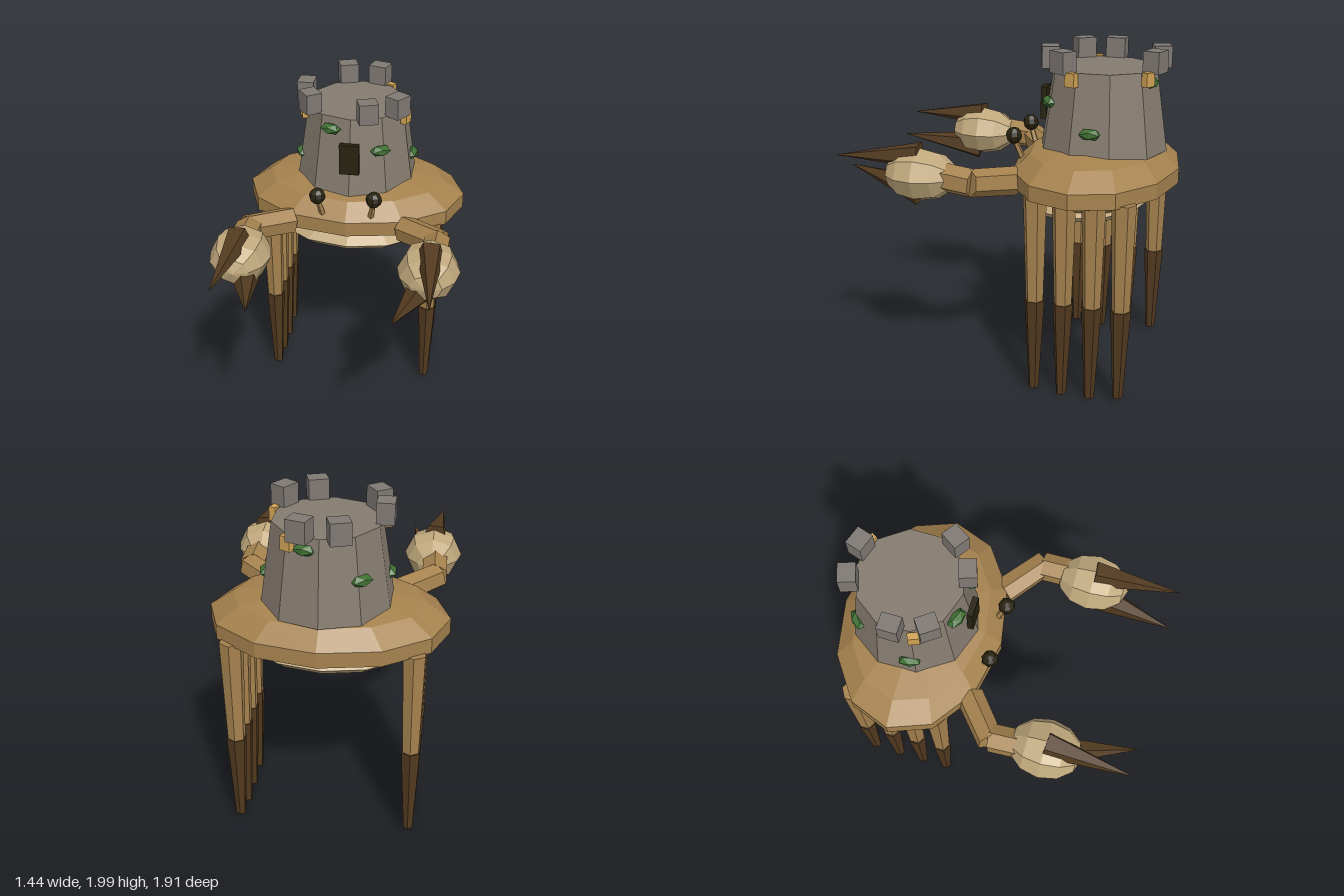
import * as THREE from 'three';

const mat = (name, color) => {
  const m = new THREE.MeshStandardMaterial({ color, flatShading: true });
  m.name = name;
  return m;
};

export function createModel() {
  const shell = mat('shell tan', 0xa5824e);
  const pale = mat('pale tan', 0xc0a87c);
  const dark = mat('dark brown', 0x523a1f);
  const stone = mat('stone grey', 0x857b6f);
  const merlonStone = mat('merlon grey', 0x7f7974);
  const green = mat('moss green', 0x3f7033);
  const amber = mat('lamp amber', 0xd0a255);
  const black = mat('near black', 0x27220f);

  const model = new THREE.Group();
  const add = (name, geometry, material, x = 0, y = 0, z = 0) => {
    const mesh = new THREE.Mesh(geometry, material);
    mesh.name = name;
    mesh.position.set(x, y, z);
    model.add(mesh);
    return mesh;
  };

  // Tapered prism between two points
  const UP = new THREE.Vector3(0, 1, 0);
  const rod = (name, a, b, ra, rb, sides, material) => {
    const p = new THREE.Vector3(...a), q = new THREE.Vector3(...b);
    const d = q.clone().sub(p);
    const mesh = add(name, new THREE.CylinderGeometry(rb, ra, d.length(), sides), material);
    mesh.position.copy(p).add(q).multiplyScalar(0.5);
    mesh.quaternion.setFromUnitVectors(UP, d.normalize());
    return mesh;
  };

  // Body: oval turned shell with twelve sides
  const profile = [[0, 1.018], [0.42, 1.045], [0.8, 1.165], [1, 1.21],
    [1, 1.3], [0.8, 1.395], [0.45, 1.44], [0, 1.45]];
  const body = add('body', new THREE.LatheGeometry(
    profile.map(([r, y]) => new THREE.Vector2(r, y)), 12), shell, 0, 0, -0.468);
  body.scale.set(0.685, 1, 0.487);

  // Belly plate
  const belly = add('belly', new THREE.SphereGeometry(1, 12, 6), pale, 0, 1.1, -0.42);
  belly.scale.set(0.5, 0.09, 0.38);

  // Tower
  const CZ = -0.5;
  add('tower', new THREE.CylinderGeometry(0.305, 0.378, 0.48, 10), stone, 0, 1.64, CZ);

  // Parts on the tower are turned to face outward
  const onTower = (name, geometry, material, x, y, z) => {
    const mesh = add(name, geometry, material, x, y, z);
    mesh.rotation.y = Math.atan2(x, z - CZ);
    return mesh;
  };
  const merlonBox = new THREE.BoxGeometry(0.115, 0.125, 0.1);
  for (const [x, z] of [[-0.105, -0.81], [0.1, -0.81], [-0.315, -0.5],
    [-0.26, -0.31], [0.1, -0.2], [0.265, -0.32]]) {
    onTower('merlon', merlonBox, merlonStone, x, 1.935, z);
  }
  const lampBox = new THREE.BoxGeometry(0.065, 0.08, 0.04);
  for (const [x, z] of [[-0.31, -0.38], [0.31, -0.38], [0.17, -0.785]]) {
    onTower('lamp', lampBox, amber, x, 1.845, z);
  }
  const mossLump = new THREE.IcosahedronGeometry(0.07, 0);
  for (const [x, y, z] of [[-0.12, 1.815, -0.2], [0.18, 1.685, -0.215], [0.345, 1.55, -0.5],
    [-0.335, 1.55, -0.42], [-0.215, 1.64, -0.755], [0.08, 1.81, -0.785]]) {
    onTower('moss', mossLump, green, x, y, z).scale.set(1, 0.5, 0.6);
  }
  add('door', new THREE.BoxGeometry(0.12, 0.19, 0.035), black, 0, 1.647, -0.148);

  // Mirrored limbs and eyes
  for (const s of [1, -1]) {
    rod('eyeStalk', [s * 0.145, 1.31, -0.05], [s * 0.17, 1.45, 0], 0.02, 0.016, 5, shell);
    add('eye', new THREE.SphereGeometry(0.05, 8, 6), black, s * 0.17, 1.465, 0);

    // Arm and pincer
    rod('upperArm', [s * 0.35, 1.245, -0.07], [s * 0.585, 1.28, 0.125], 0.085, 0.08, 6, shell);
    rod('forearm', [s * 0.565, 1.275, 0.12], [s * 0.56, 1.295, 0.3], 0.085, 0.085, 6, shell);
    const palm = add('clawPalm', new THREE.SphereGeometry(1, 8, 6), pale, s * 0.54, 1.29, 0.44);
    palm.rotation.x = Math.PI / 2;
    palm.scale.set(0.178, 0.215, 0.155);
    rod('upperFinger', [s * 0.545, 1.405, 0.44], [s * 0.58, 1.375, 0.95], 0.08, 0.002, 5, dark);
    rod('lowerFinger', [s * 0.515, 1.19, 0.46], [s * 0.39, 1.265, 0.95], 0.095, 0.002, 5, dark);

    // Four walking legs
    for (let i = 0; i < 4; i++) {
      const z = -0.232 - i * 0.17;
      const foot = [0.02, 0.005, 0.005, 0.035][i];
      rod('upperLeg', [s * 0.505, 0.57, z], [s * 0.505, 1.22, z], 0.052, 0.07, 6, shell);
      rod('lowerLeg', [s * 0.505, foot, z + 0.003], [s * 0.505, 0.585, z], 0.03, 0.06, 6, dark);
    }
  }

  // Rest exactly on the ground
  model.position.y = -new THREE.Box3().setFromObject(model, true).min.y;
  return model;
}
